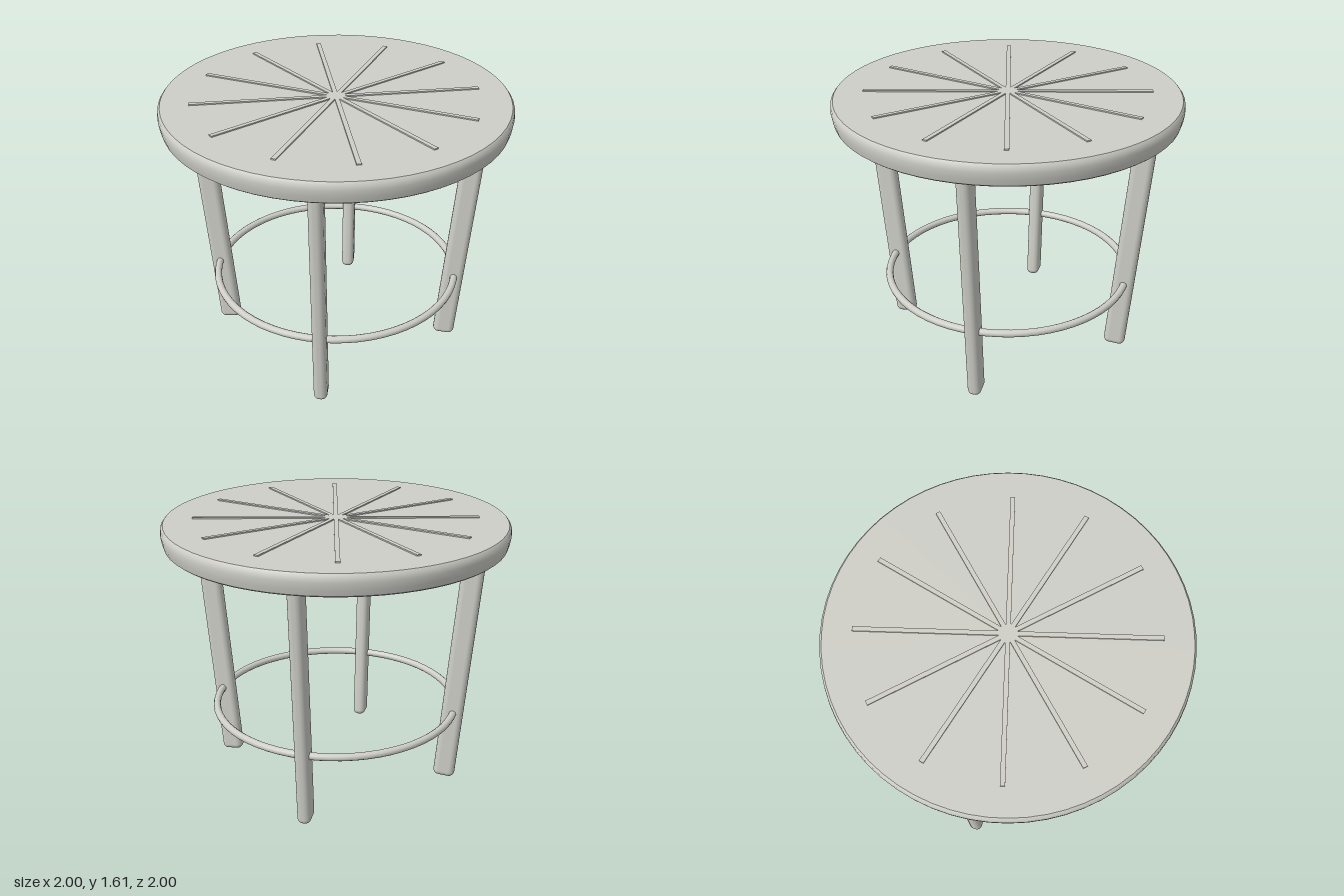
import * as THREE from 'three';
import { toCreasedNormals } from 'three/addons/utils/BufferGeometryUtils.js';
import { RoundedBoxGeometry } from 'three/addons/geometries/RoundedBoxGeometry.js';

export function createModel() {
  const model = new THREE.Group();
  model.name = 'roundTable';
  const paint = new THREE.MeshStandardMaterial({ color: 0xcfcfc8 });
  paint.name = 'paleGrey';

  const add = (name, geometry, parent = model) => {
    const mesh = new THREE.Mesh(geometry, paint);
    mesh.name = name;
    parent.add(mesh);
    return mesh;
  };

  // Table top: hollowed underside, rounded rim and a small centre bore
  const profile = [
    [0.04, 1.53], [0.94, 1.515], [0.962, 1.478], [0.975, 1.475], [0.985, 1.483],
    [0.994, 1.515], [1, 1.555], [0.997, 1.585], [0.985, 1.6], [0.04, 1.6], [0.04, 1.53],
  ].map(([r, y]) => new THREE.Vector2(r, y));
  add('tableTop', toCreasedNormals(new THREE.LatheGeometry(profile, 64), 0.6));

  // Thin raised bars crossing the centre, twelve rays in all
  for (let i = 0; i < 6; i++) {
    const bar = add('topBar', new THREE.BoxGeometry(1.65, 0.009, 0.026));
    bar.position.y = 1.6025;
    bar.rotation.y = (i * Math.PI) / 6;
  }

  // Four flat, rounded legs on the diagonals, leaning outwards
  const legGeometry = new RoundedBoxGeometry(0.13, 1.54, 0.08, 4, 0.035);
  for (let i = 0; i < 4; i++) {
    const pivot = new THREE.Group();
    pivot.name = 'legPivot';
    pivot.rotation.y = Math.PI / 4 + (i * Math.PI) / 2;
    model.add(pivot);
    const leg = add('leg', legGeometry, pivot);
    leg.position.set(0.755, 0.77, 0);
    leg.rotation.z = -Math.atan(0.081);
  }

  // Ring stretcher through the legs
  const ring = add('stretcherRing', new THREE.TorusGeometry(0.735, 0.022, 10, 64));
  ring.rotation.x = Math.PI / 2;
  ring.position.y = 0.447;

  return model;
}
